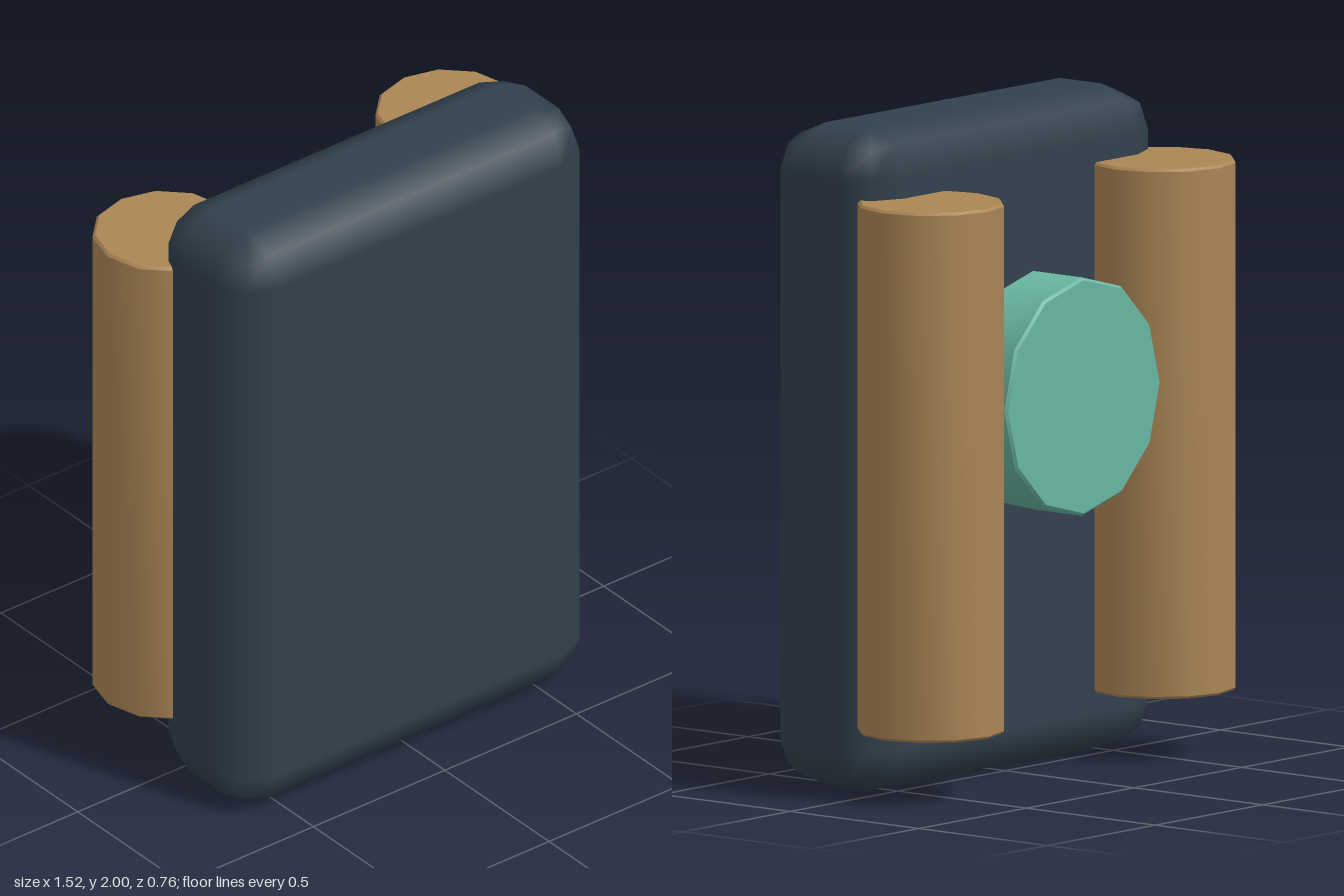
import * as THREE from 'three';
import { toCreasedNormals } from 'three/addons/utils/BufferGeometryUtils.js';
import { RoundedBoxGeometry } from 'three/addons/geometries/RoundedBoxGeometry.js';

// Twelve-sided solid cylinder with a tiny chamfer on both rims
function chamferedCylinder(radius, height, chamfer = 0.008) {
  const h = height / 2;
  const profile = [
    [0, -h], [radius - chamfer, -h], [radius, -h + chamfer],
    [radius, h - chamfer], [radius - chamfer, h], [0, h],
  ].map(([x, y]) => new THREE.Vector2(x, y));
  return toCreasedNormals(new THREE.LatheGeometry(profile, 12), 0.7);
}

export function createModel() {
  const slate = new THREE.MeshStandardMaterial({ color: 0x32414d });
  slate.name = 'slate';
  const tan = new THREE.MeshStandardMaterial({ color: 0xab8655 });
  tan.name = 'tan';
  const teal = new THREE.MeshStandardMaterial({ color: 0x69b6a2 });
  teal.name = 'teal';

  const model = new THREE.Group();
  model.name = 'model';
  const add = (name, geometry, material, x, y, z) => {
    const mesh = new THREE.Mesh(geometry, material);
    mesh.name = name;
    mesh.position.set(x, y, z);
    model.add(mesh);
    return mesh;
  };

  // Upright slab with rounded edges
  add('panel', new RoundedBoxGeometry(1.36, 2, 0.44, 1, 0.138), slate, 0, 1, 0.16);

  // Two upright tubes sunk into the back of the slab
  const tube = chamferedCylinder(0.222, 1.6);
  add('leftTube', tube, tan, 0.538, 1, -0.16);
  add('rightTube', tube, tan, -0.538, 1, -0.16);

  // Disc held between the tubes, facing backwards
  const disc = add('disc', chamferedCylinder(0.36, 0.205), teal, 0, 1.16, -0.2025);
  disc.rotation.x = Math.PI / 2;

  return model;
}
